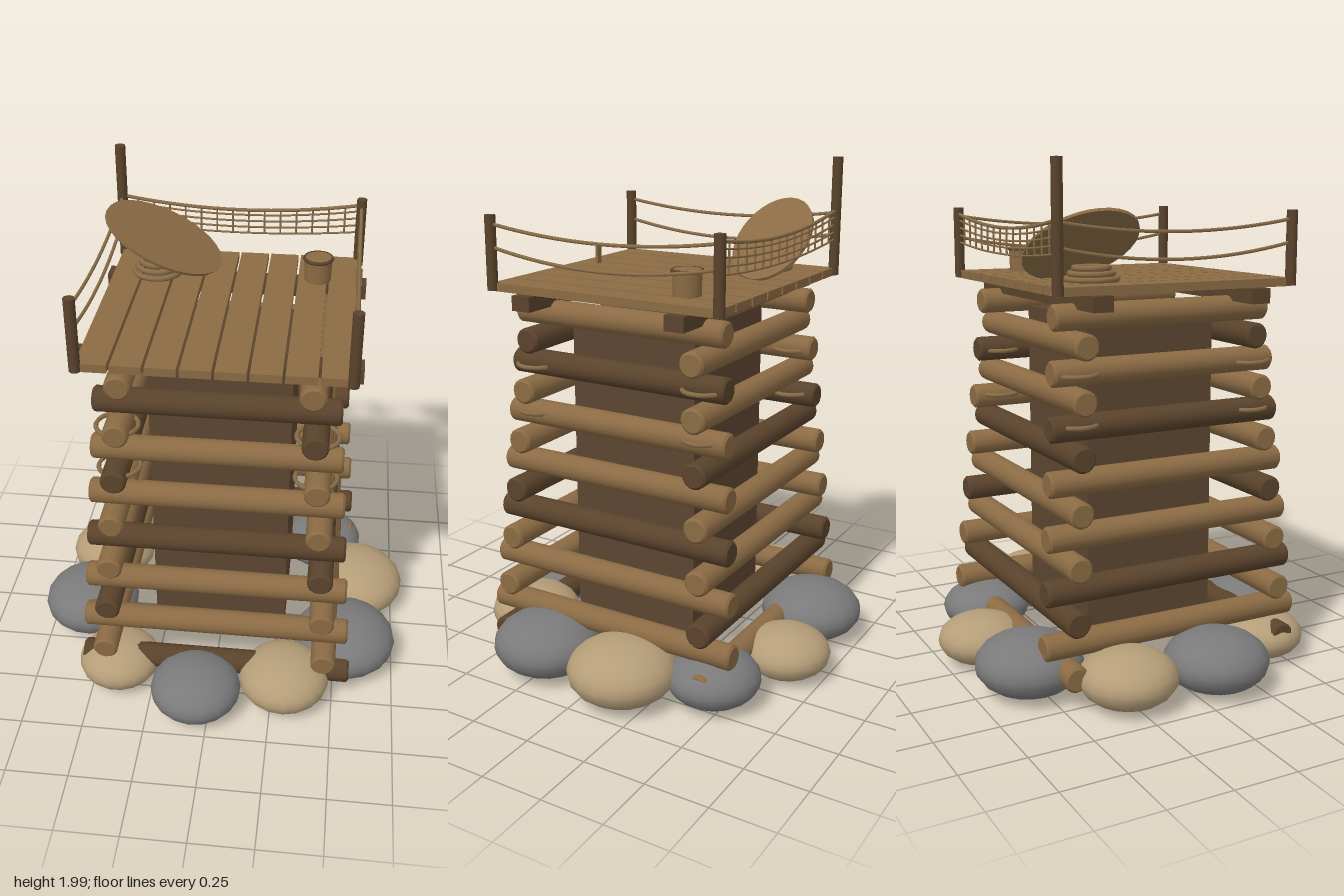
import * as THREE from 'three';
import { toCreasedNormals } from 'three/addons/utils/BufferGeometryUtils.js';

export function createModel() {
  const root = new THREE.Group();
  root.name = 'logWatchtower';
  const mat = (name, color) => {
    const m = new THREE.MeshStandardMaterial({ color });
    m.name = name;
    return m;
  };
  const lightWood = mat('lightWood', 0x8b6b44);
  const darkWood = mat('darkWood', 0x5a432c);
  const coreWood = mat('coreWood', 0x5c4530);
  const rope = mat('rope', 0x8a6d48);
  const greyStone = mat('greyStone', 0x7a7a7a);
  const tanStone = mat('tanStone', 0xb59d78);

  const add = (parent, name, geo, material, x = 0, y = 0, z = 0) => {
    const mesh = new THREE.Mesh(geo, material);
    mesh.name = name;
    mesh.position.set(x, y, z);
    parent.add(mesh);
    return mesh;
  };

  // Ring of flattened boulders: x, z, radius; grey and tan alternate
  const stones = [
    [-0.28, -0.54, 0.21], [0.08, -0.595, 0.175], [0.415, -0.445, 0.185], [0.575, -0.135, 0.215],
    [0.54, 0.245, 0.215], [0.3, 0.485, 0.185], [-0.055, 0.58, 0.185], [-0.395, 0.44, 0.168],
    [-0.58, 0.105, 0.205], [-0.55, -0.26, 0.19],
  ];
  const stoneGeo = new THREE.SphereGeometry(1, 18, 12);
  stones.forEach(([x, z, r], i) => {
    const s = add(root, 'foundationStone', stoneGeo, i % 2 ? tanStone : greyStone, x, 0.01 + r * 0.57, z);
    s.scale.set(r, r * 0.57, r);
    s.rotation.y = i * 1.3;
  });

  // Everything wooden sits slightly off the centre of the boulder ring
  const tower = new THREE.Group();
  tower.name = 'tower';
  tower.position.set(0.012, 0, -0.008);
  root.add(tower);

  // Log with chamfered ends
  const logGeo = (half) => {
    const r = 0.05, c = 0.009;
    const profile = [[0, -half], [r - c, -half], [r, c - half], [r, half - c], [r - c, half], [0, half]];
    return toCreasedNormals(new THREE.LatheGeometry(profile.map((p) => new THREE.Vector2(...p)), 16), 0.5);
  };

  // Crossed log layers, tapering upward and alternating direction
  for (let i = 0; i < 14; i++) {
    const y = 0.14 + i * 0.1, off = 0.4525 - i * 0.0077;
    const geo = logGeo(off + 0.1);
    for (const side of [1, -1]) {
      const alongX = i % 2 === 0;
      const first = alongX ? side > 0 : side < 0;
      const dark = (first ? i : i + 1) % 3 === 0;
      const log = add(tower, alongX ? 'crossLog' : 'sideLog', geo, dark ? darkWood : lightWood,
        alongX ? 0 : side * off, y, alongX ? side * off : 0);
      if (alongX) log.rotation.z = Math.PI / 2;
      else log.rotation.x = Math.PI / 2;
    }
  }

  // Dark inner shaft
  add(tower, 'innerShaft', new THREE.BoxGeometry(0.545, 1.24, 0.545), coreWood, 0, 0.8, 0);

  // Rope lashings around the upper corners
  const lashGeo = new THREE.TorusGeometry(0.08, 0.009, 6, 20).rotateX(Math.PI / 2);
  for (const y of [1.05, 1.235])
    for (const sx of [1, -1])
      for (const sz of [1, -1]) add(tower, 'cornerLashing', lashGeo, rope, sx * 0.375, y, sz * 0.37);

  // Deck beams and planks
  for (const s of [1, -1])
    add(tower, 'deckBeam', new THREE.BoxGeometry(1.05, 0.057, 0.08), darkWood, 0, 1.498, s * 0.33);
  const plankGeo = new THREE.BoxGeometry(0.113, 0.032, 0.98);
  for (let i = 0; i < 8; i++)
    add(tower, 'deckPlank', plankGeo, lightWood, (i - 3.5) * 0.1235, 1.543, 0);

  // Corner posts, the back right one taller
  const P = 0.488;
  for (const sx of [1, -1])
    for (const sz of [1, -1]) {
      const h = sx < 0 && sz < 0 ? 0.47 : 0.285;
      add(tower, 'cornerPost', new THREE.CylinderGeometry(0.021, 0.021, h, 10), darkWood,
        sx * P, 1.53 + h / 2, sz * P);
    }

  // Sagging ropes: y(t) is a parabola between two posts
  const sagRope = (name, a, b, sag, r) => {
    const mid = a.clone().add(b).multiplyScalar(0.5);
    mid.y -= sag * 2;
    const curve = new THREE.QuadraticBezierCurve3(a, mid, b);
    add(tower, name, new THREE.TubeGeometry(curve, 16, r, 6), rope);
    return curve;
  };
  const V = (x, y, z) => new THREE.Vector3(x, y, z);
  for (const s of [1, -1])
    for (const [y, sag] of [[1.782, 0.04], [1.695, 0.052]])
      sagRope('sideRailRope', V(s * P, y, P), V(s * P, y, -P), sag, 0.007);
  add(tower, 'hangingTag', new THREE.BoxGeometry(0.024, 0.065, 0.01), rope, P, 1.708, 0);

  // Back netting
  const rows = [1.79, 1.765, 1.735, 1.705, 1.675].map((y, i) =>
    sagRope('netRow', V(-P, y, -P), V(P, y, -P), 0.042 - i * 0.004, i ? 0.004 : 0.007));
  for (let i = 1; i < 15; i++) {
    const a = rows[0].getPoint(i / 15), b = rows[4].getPoint(i / 15);
    add(tower, 'netStrand', new THREE.CylinderGeometry(0.004, 0.004, a.y - b.y, 5), rope, a.x, (a.y + b.y) / 2, -P);
  }

  // Oval board leaning in the back corner
  const board = add(root, 'leaningBoard', new THREE.CylinderGeometry(1, 1, 0.012, 32), lightWood);
  const long = V(-0.83, 0.46, 0.32).normalize();
  const up = V(0.533, 0.82, 0.2);
  up.addScaledVector(long, -up.dot(long)).normalize();
  board.quaternion.setFromRotationMatrix(new THREE.Matrix4().makeBasis(long, up, long.clone().cross(up)));
  board.scale.set(0.262, 1, 0.172);
  board.position.set(-0.275, 1.69, -0.315);

  // Coiled rope on the deck
  [0.095, 0.08, 0.065].forEach((r, i) =>
    add(root, 'ropeCoil', new THREE.TorusGeometry(r, 0.011, 6, 24).rotateX(Math.PI / 2), rope, -0.3, 1.571 + i * 0.02, -0.28));

  // Small lidded tub
  add(root, 'tub', new THREE.CylinderGeometry(0.055, 0.052, 0.1, 20), lightWood, 0.342, 1.605, -0.28);
  add(root, 'tubRim', new THREE.TorusGeometry(0.055, 0.007, 6, 20).rotateX(Math.PI / 2), darkWood, 0.342, 1.65, -0.28);

  return root;
}
